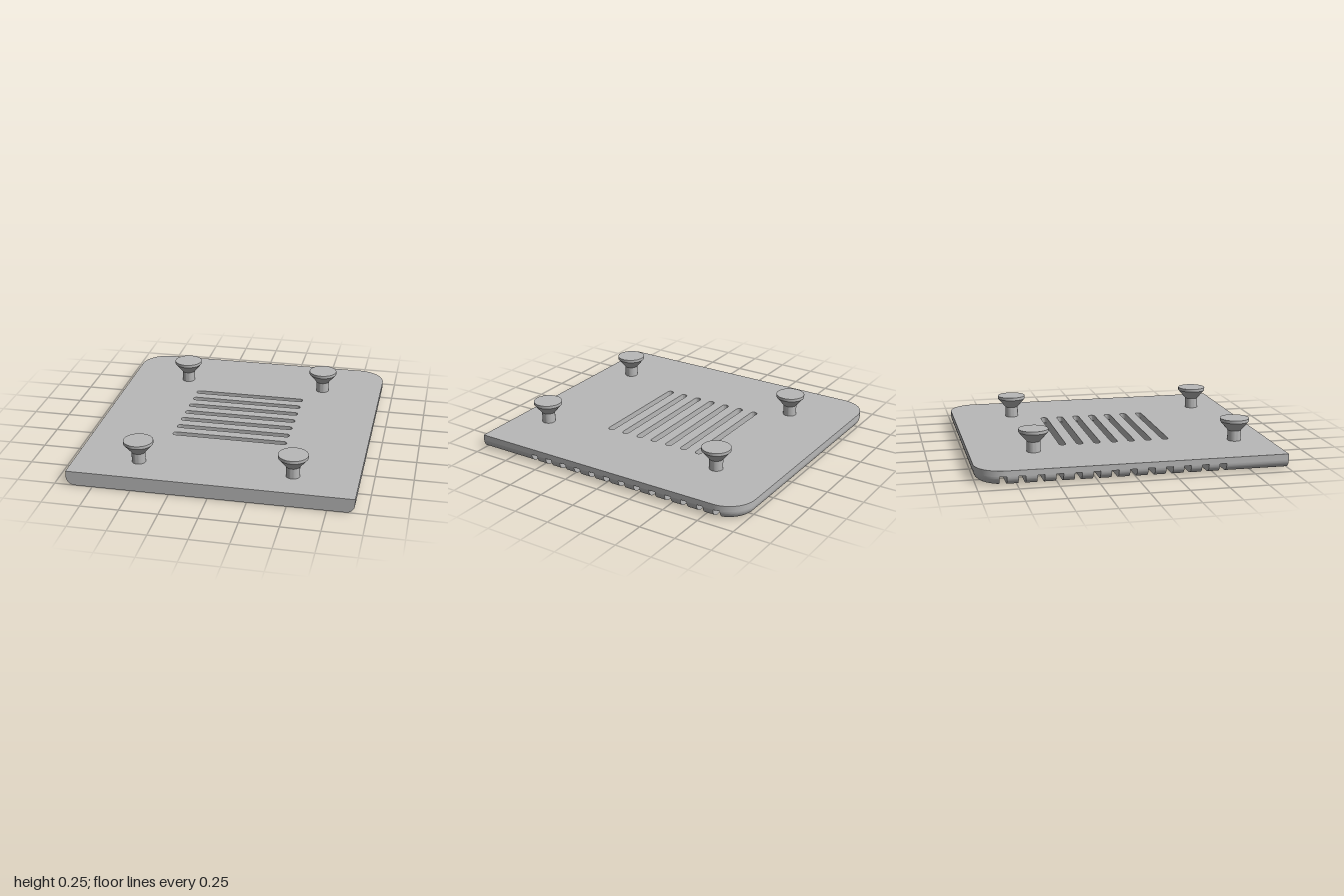
import * as THREE from 'three';
import { toCreasedNormals } from 'three/addons/utils/BufferGeometryUtils.js';

const W = 0.923;        // half width of the plate
const C = 0.187;        // plan radius of the two back corners
const R = 0.057;        // rounding of the lower edge, also the groove depth
const TOP = 0.095;      // upper face of the plate
const GROOVE = 0.045;   // groove and slot width
const PITCH = 0.1165;
const FIRST = 0.563;    // z of the front groove
const COUNT = 13;

const smooth = (g) => toCreasedNormals(g, 0.6);

// Upper slab with the round back corners and seven through slots
function slabGeometry() {
  const s = new THREE.Shape();
  s.moveTo(-W, -1);
  s.lineTo(W, -1);
  s.lineTo(W, 1 - C);
  s.absarc(W - C, 1 - C, C, 0, Math.PI / 2);
  s.absarc(-W + C, 1 - C, C, Math.PI / 2, Math.PI);
  s.closePath();
  const r = GROOVE / 2, end = 0.39 - r;
  for (let i = 2; i < 9; i++) {
    const y = -(FIRST - i * PITCH);
    const hole = new THREE.Path();
    hole.absarc(end, y, r, -Math.PI / 2, Math.PI / 2);
    hole.absarc(-end, y, r, Math.PI / 2, Math.PI * 1.5);
    hole.closePath();
    s.holes.push(hole);
  }
  const g = new THREE.ExtrudeGeometry(s, { depth: TOP - R, bevelEnabled: false, curveSegments: 16 });
  g.rotateX(-Math.PI / 2).translate(0, R, 0);
  return smooth(g);
}

// Straight rib between two grooves, with rounded lower ends
function ribGeometry(z0, z1) {
  const s = new THREE.Shape();
  s.moveTo(-W, R);
  s.absarc(-W + R, R, R, Math.PI, Math.PI * 1.5);
  s.absarc(W - R, R, R, Math.PI * 1.5, Math.PI * 2);
  s.closePath();
  const g = new THREE.ExtrudeGeometry(s, { depth: z1 - z0, bevelEnabled: false, curveSegments: 10 });
  return smooth(g.translate(0, 0, z0));
}

// Back rib: stacked outlines that grow upward around the corners
function backRibGeometry(zFront) {
  const layers = 10, arc = 14, n = 2 * (arc + 1);
  const pos = [], idx = [];
  for (let j = 0; j <= layers; j++) {
    const p = (1 - j / layers) * Math.PI / 2;
    const y = R * (1 - Math.sin(p));
    const r = C - R * (1 - Math.cos(p));
    const start = Math.asin((1 - C + zFront) * -1 / r);
    const half = [];
    for (let i = 0; i <= arc; i++) {
      const t = start + (Math.PI / 2 - start) * i / arc;
      half.push([W - C + r * Math.cos(t), y, -(1 - C) - r * Math.sin(t)]);
    }
    const mirrored = half.map(([x, h, z]) => [-x, h, z]).reverse();
    for (const v of [...half, ...mirrored]) pos.push(...v);
  }
  for (let j = 0; j < layers; j++) {
    const a = j * n, b = a + n;
    for (let i = 0; i < n - 1; i++) {
      idx.push(a + i, a + i + 1, b + i + 1, a + i, b + i + 1, b + i);
    }
    // flat wall facing the last groove
    idx.push(a + n - 1, a, b, a + n - 1, b, b + n - 1);
  }
  // underside
  for (let i = 1; i < n - 1; i++) idx.push(0, i + 1, i);
  const g = new THREE.BufferGeometry();
  g.setAttribute('position', new THREE.Float32BufferAttribute(pos, 3));
  g.setIndex(idx);
  return smooth(g);
}

// Mushroom-shaped mounting stud
function studGeometry() {
  const profile = [[0.045, TOP], [0.045, 0.165], [0.097, 0.226], [0.097, 0.246], [0, 0.246]]
    .map(([r, y]) => new THREE.Vector2(r, y));
  return smooth(new THREE.LatheGeometry(profile, 40));
}

export function createModel() {
  const model = new THREE.Group();
  model.name = 'groovedMountingPlate';
  const grey = new THREE.MeshStandardMaterial({ color: 0xb8b8b8 });
  grey.name = 'grey';
  const add = (geometry, name) => {
    const mesh = new THREE.Mesh(geometry, grey);
    mesh.name = name;
    model.add(mesh);
    return mesh;
  };

  add(slabGeometry(), 'slab');

  // Ribs on the underside, from front to back
  let z1 = 1;
  for (let i = 0; i < COUNT; i++) {
    const groove = FIRST - i * PITCH;
    add(ribGeometry(groove + GROOVE / 2, z1), i === 0 ? 'frontPad' : 'rib');
    z1 = groove - GROOVE / 2;
  }
  add(backRibGeometry(z1), 'backRib');

  // Four studs on the upper face
  const stud = studGeometry();
  for (const x of [-0.503, 0.503]) {
    for (const z of [-0.583, 0.772]) add(stud, 'stud').position.set(x, 0, z);
  }
  return model;
}
